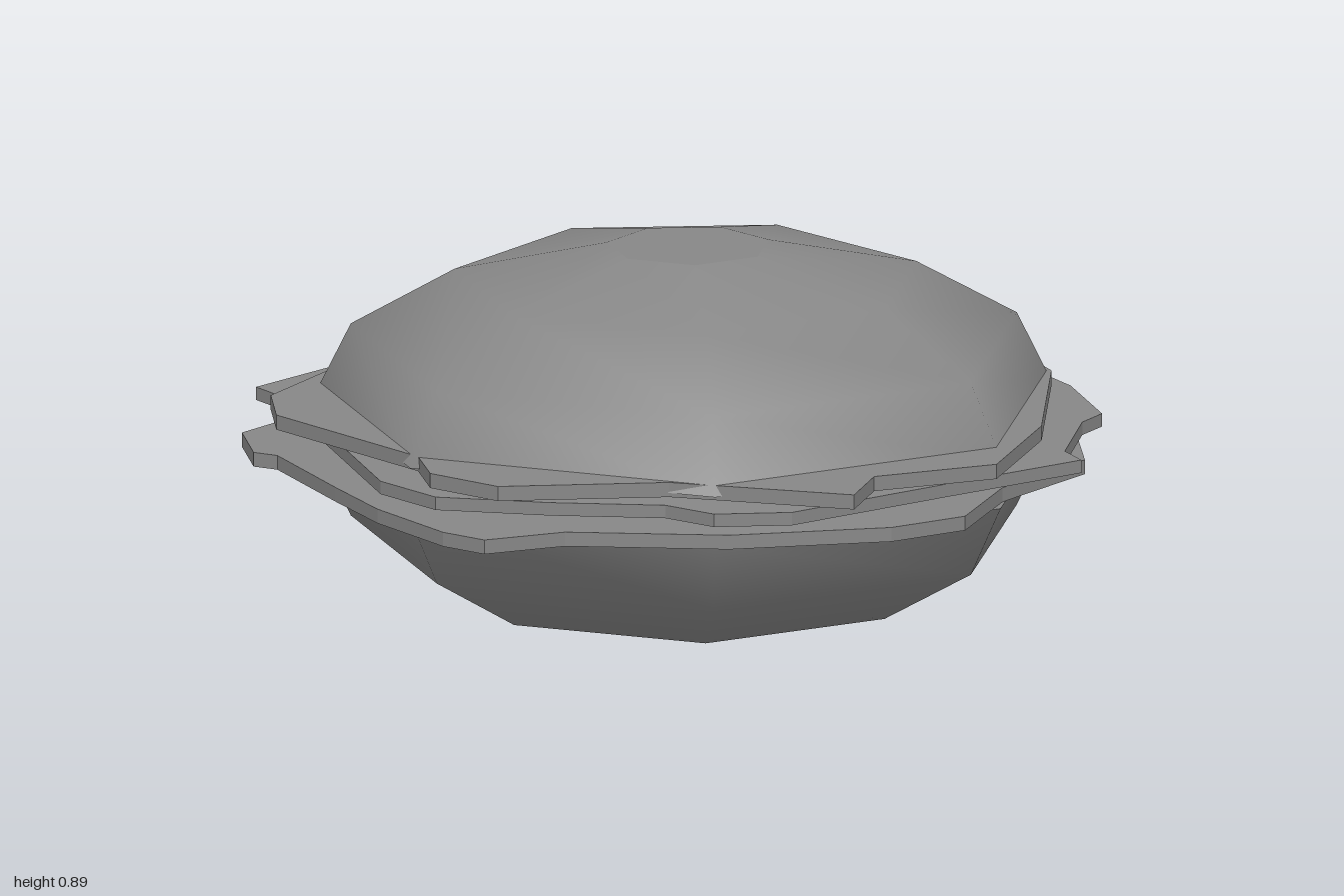
import * as THREE from 'three';

const SIDES = 7;
const MID = 0.447;   // height the two buns mirror about
const CX = 0.017;
const CZ = -0.008;

const material = new THREE.MeshStandardMaterial({ color: 0x878787 });

function addMesh(parent, name, geometry) {
  const mesh = new THREE.Mesh(geometry, material);
  mesh.name = name;
  parent.add(mesh);
}

// Seven-sided dome, smooth round the side, with a flat cap and a flat base
function bun(name) {
  const group = new THREE.Group();
  group.name = name;
  const profile = [[0.88, 0.06], [0.796, 0.23], [0.552, 0.37], [0.194, 0.447]]
    .map(([r, y]) => new THREE.Vector2(r, y));
  addMesh(group, name + 'Side', new THREE.LatheGeometry(profile, SIDES));

  const cap = new THREE.CircleGeometry(0.194, SIDES, -Math.PI / 2);
  cap.rotateX(-Math.PI / 2).translate(0, 0.447, 0);
  addMesh(group, name + 'Cap', cap);

  const base = new THREE.CircleGeometry(0.88, SIDES, Math.PI / 2);
  base.rotateX(Math.PI / 2).translate(0, 0.06, 0);
  addMesh(group, name + 'Base', base);

  group.position.set(CX, MID, CZ);
  return group;
}

// Thin flat slice with a ragged outline of [x, z] corners
function addSlice(parent, name, top, height, outline) {
  const shape = new THREE.Shape(outline.map(([x, z]) => new THREE.Vector2(x, z)));
  const slice = new THREE.ExtrudeGeometry(shape, { depth: height, bevelEnabled: false });
  slice.rotateX(Math.PI / 2).translate(0, top, 0);
  addMesh(parent, name, slice);
}

export function createModel() {
  const model = new THREE.Group();
  model.name = 'layeredBun';

  // Buns: the lower one is the upper turned over
  const lower = bun('lowerBun');
  lower.rotation.z = Math.PI;
  model.add(bun('upperBun'), lower);

  // Ragged fillings between the buns
  addSlice(model, 'upperFilling', 0.532, 0.035, [
    [-0.12, -1], [0.1, -0.91], [0.4, -0.8], [0.78, -0.42], [0.985, -0.09], [0.88, 0.2],
    [0.98, 0.355], [0.6, 0.59], [0.36, 0.91], [0.16, 0.94], [0.02, 0.85], [-0.5, 0.82],
    [-0.65, 0.7], [-0.82, 0.2], [-0.86, -0.06], [-0.99, -0.2], [-0.93, -0.33],
    [-0.75, -0.52], [-0.31, -0.82], [-0.28, -0.94]]);

  addSlice(model, 'middleFilling', 0.486, 0.031, [
    [0.15, -0.92], [0.4, -0.86], [0.65, -0.73], [0.68, -0.64], [0.86, -0.42], [0.95, -0.39],
    [0.91, 0], [0.87, 0.45], [0.76, 0.595], [0.62, 0.62], [0.42, 0.8], [0.2, 0.96],
    [0, 0.95], [-0.72, 0.57], [-0.87, 0.545], [-0.91, 0.16], [-0.8, -0.35], [-0.36, -0.8]]);

  addSlice(model, 'lowerFilling', 0.421, 0.034, [
    [-0.22, -0.965], [0.1, -0.88], [0.6, -0.7], [0.76, -0.575], [0.83, -0.25], [0.975, 0],
    [0.94, 0.2], [0.74, 0.53], [0.46, 0.79], [0.39, 0.98], [0.27, 1], [0, 0.96],
    [-0.22, 0.89], [-0.54, 0.78], [-0.6, 0.8], [-0.76, 0.69], [-0.84, 0.2],
    [-0.82, -0.4], [-0.86, -0.47], [-0.78, -0.64], [-0.6, -0.73], [-0.36, -0.8]]);

  return model;
}
